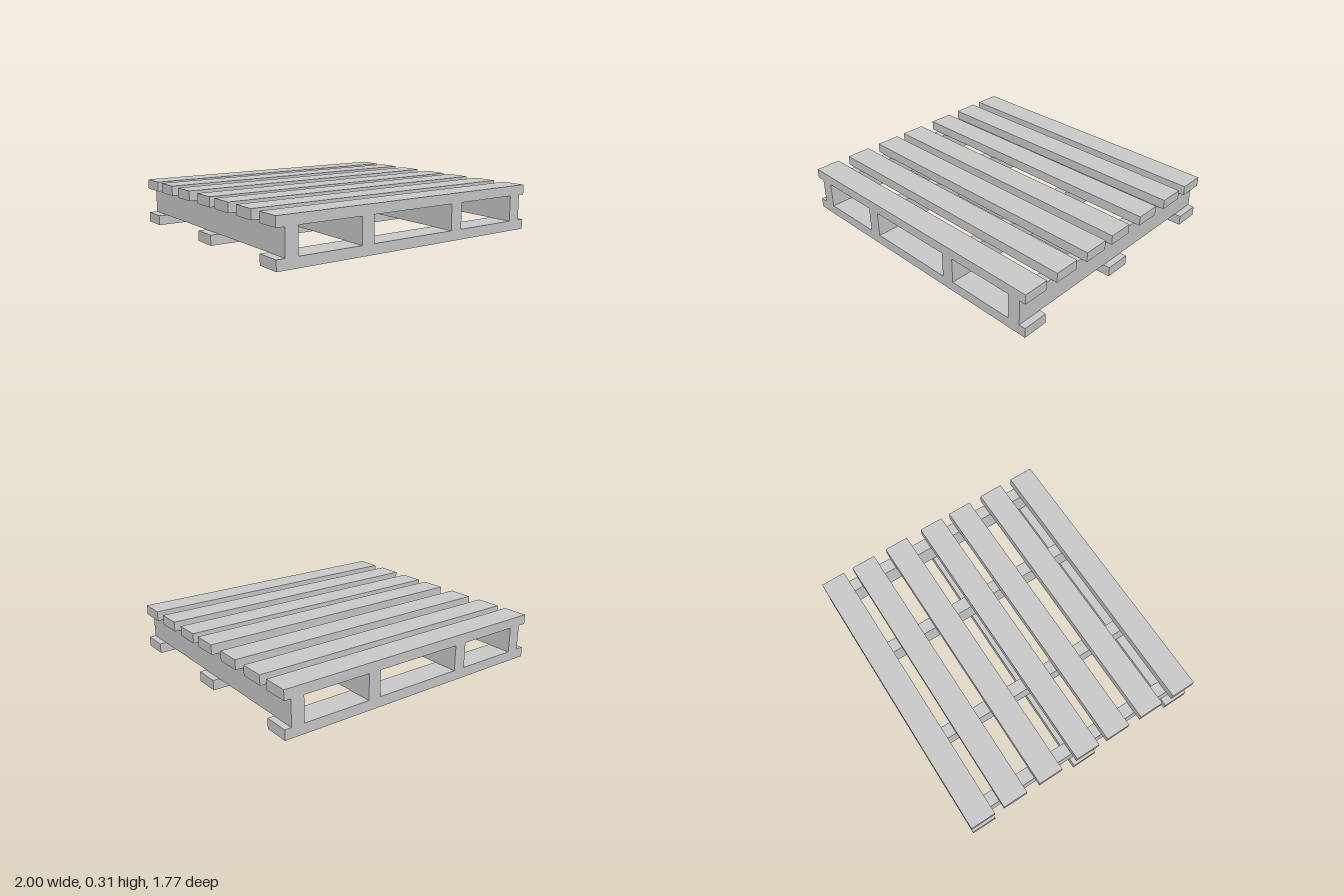
import * as THREE from 'three';

const LENGTH = 2, DEPTH = 1.77, BOARD_WIDTH = 0.176;
const BASE_TOP = 0.068, DECK_BOTTOM = 0.243, TOP = 0.31;

export function createModel() {
  const pallet = new THREE.Group();
  pallet.name = 'pallet';
  const material = new THREE.MeshStandardMaterial({ color: 0xcccccc, flatShading: true });

  // A plank of given width and depth between two heights
  function plank(name, width, depth, bottom, top, x, z) {
    const mesh = new THREE.Mesh(new THREE.BoxGeometry(width, top - bottom, depth), material);
    mesh.name = name;
    mesh.position.set(x, (bottom + top) / 2, z);
    pallet.add(mesh);
  }

  // Deck boards, slightly unevenly spaced
  [-0.797, -0.552, -0.279, 0.015, 0.258, 0.531, 0.797].forEach((z, i) =>
    plank(`deckBoard${i + 1}`, LENGTH, BOARD_WIDTH, DECK_BOTTOM, TOP, 0, z));

  // Stringers running front to back
  [-0.899, -0.367, 0.356, 0.911].forEach((x, i) =>
    plank(`stringer${i + 1}`, 0.088, DEPTH, BASE_TOP, DECK_BOTTOM, x, 0));

  // Bottom boards
  [-0.797, 0.016, 0.797].forEach((z, i) =>
    plank(`bottomBoard${i + 1}`, LENGTH, BOARD_WIDTH, 0, BASE_TOP, 0, z));

  return pallet;
}
